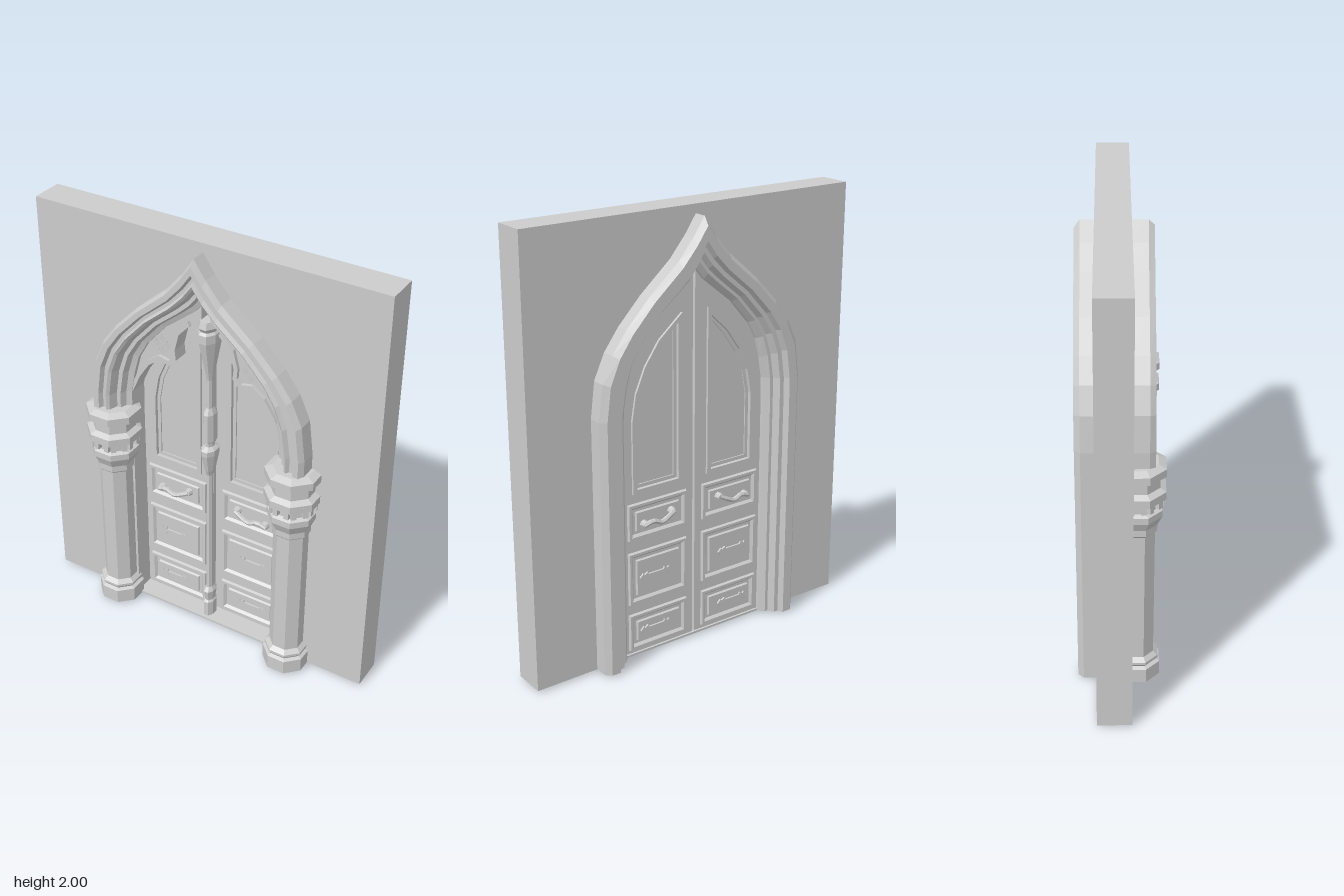
import * as THREE from 'three';

const stone = new THREE.MeshStandardMaterial({ color: 0xcccccc, flatShading: true, side: THREE.DoubleSide });

function add(parent, name, geometry, x = 0, y = 0, z = 0) {
  const mesh = new THREE.Mesh(geometry, stone);
  mesh.name = name;
  mesh.position.set(x, y, z);
  parent.add(mesh);
  return mesh;
}

// Skin a list of closed rings; u and v name the axes used to fill the end caps
function loft(rings, u, v, capStart, capEnd) {
  const n = rings[0].length;
  const index = [];
  for (let i = 0; i < rings.length - 1; i++) {
    for (let j = 0; j < n; j++) {
      const a = i * n + j, b = i * n + (j + 1) % n;
      index.push(a, b, b + n, a, b + n, a + n);
    }
  }
  const cap = (i, flip) => {
    const flat = rings[i].map(p => new THREE.Vector2(p[u], p[v]));
    for (const [a, b, c] of THREE.ShapeUtils.triangulateShape(flat, [])) {
      index.push(i * n + a, i * n + (flip ? c : b), i * n + (flip ? b : c));
    }
  };
  if (capStart) cap(0, true);
  if (capEnd) cap(rings.length - 1, false);
  const g = new THREE.BufferGeometry();
  g.setAttribute('position', new THREE.Float32BufferAttribute(rings.flat().flatMap(p => [p.x, p.y, p.z]), 3));
  g.setIndex(index);
  g.computeVertexNormals();
  return g;
}

const shapeOf = (pts, s = 1) => new THREE.Shape(pts.map(([x, y]) => new THREE.Vector2(s * x, y)));
const slab = (shape, z0, z1) =>
  new THREE.ExtrudeGeometry(shape, { depth: z1 - z0, bevelEnabled: false }).translate(0, 0, z0);

// Right half of the ogee arch: outer and inner edges, station by station
const OUTER = [[.53, .01], [.53, 1.07], [.53, 1.18], [.51, 1.34], [.46, 1.45], [.39, 1.545],
  [.28, 1.66], [.13, 1.79], [.055, 1.88], [0, 1.96]];
const INNER = [[.375, .01], [.375, 1.07], [.372, 1.18], [.355, 1.28], [.33, 1.37], [.285, 1.45],
  [.19, 1.56], [.09, 1.64], [.04, 1.68], [0, 1.73]];
const edge = t => OUTER.map(([x, y], i) => [x + (INNER[i][0] - x) * t, y + (INNER[i][1] - y) * t]);
const fullEdge = t => {
  const half = edge(t);
  return [...half.map(([x, y]) => [-x, y]), ...half.slice(0, -1).reverse()];
};

// Sweep a profile of (t across the moulding, z) round the arch
function archMoulding(profile, skip) {
  const edges = profile.map(([t]) => fullEdge(t));
  const rings = [];
  for (let i = skip; i < edges[0].length - skip; i++) {
    rings.push(profile.map(([, z], j) => new THREE.Vector3(edges[j][i][0], edges[j][i][1], z)));
  }
  return loft(rings, 'x', 'z', true, true);
}

// Octagonal turned part from apothem/height pairs
function octagon(profile) {
  const k = 1 / Math.cos(Math.PI / 8);
  return new THREE.LatheGeometry(profile.map(([r, y]) => new THREE.Vector2(r * k, y)), 8, Math.PI / 8);
}

// Moulded rectangular panel from inset/height steps
function panelGeometry(w, h) {
  const steps = [[0, -.004], [.006, .012], [.018, .012], [.03, -.002], [.04, -.002], [.046, .009], [.052, .009]];
  const rings = steps.map(([d, z]) => [[-1, -1], [1, -1], [1, 1], [-1, 1]]
    .map(([a, b]) => new THREE.Vector3(a * (w / 2 - d), b * (h / 2 - d), z)));
  return loft(rings, 'x', 'y', false, true);
}

const WINDOW = [[.08, .8], [.315, .8], [.315, 1.12], [.295, 1.24], [.25, 1.34], [.18, 1.44], [.08, 1.53]];
const insetWindow = d => [[.08 + d, .8 + d], [.315 - d, .8 + d], [.315 - d, 1.12], [.295 - d, 1.235 - d * .3],
  [.25 - d * .8, 1.34 - d * .7], [.18 - d * .6, 1.44 - d], [.08 + d, 1.53 - d * 1.9]];
const PLATE = [[-.085, 0], [-.068, .018], [-.062, .009], [-.045, .02], [-.04, .009], [.04, .009], [.045, .02],
  [.062, .009], [.068, .018], [.085, 0], [.068, -.018], [.062, -.009], [.045, -.02], [.04, -.009],
  [-.04, -.009], [-.045, -.02], [-.062, -.009], [-.068, -.018]];

// Everything applied to one face of the pair of doors, facing +z
function doorFace() {
  const face = new THREE.Group();
  for (const s of [-1, 1]) {
    [[.125, .18], [.3875, .255], [.6575, .175]].forEach(([y, h], row) => {
      add(face, 'doorPanel', panelGeometry(.315, h), s * .198, y, 0);
      if (row < 2) add(face, 'panelOrnament', slab(shapeOf(PLATE), .008, .018), s * .215, y, 0);
    });
    // Lever handle on two round mounts
    for (const [x, y] of [[.13, .668], [.275, .642]]) {
      add(face, 'handleMount', new THREE.CylinderGeometry(.014, .02, .03, 8).rotateX(Math.PI / 2), s * x, y, .02);
    }
    const path = new THREE.CatmullRomCurve3([[.125, .672, .03], [.16, .655, .036], [.2, .64, .038], [.24, .655, .036],
      [.285, .64, .03]].map(([x, y, z]) => new THREE.Vector3(s * x, y, z)));
    add(face, 'doorHandle', new THREE.TubeGeometry(path, 10, .011, 6));
    // Stepped window surround
    for (const [a, b, z] of [[-.012, .008, .011], [.008, .024, -.006]]) {
      const ring = shapeOf(insetWindow(a), s);
      ring.holes.push(shapeOf(insetWindow(b), s));
      add(face, 'windowSurround', slab(ring, -.012, z));
    }
  }
  return face;
}

function column(x) {
  const g = new THREE.Group();
  g.name = 'column';
  add(g, 'columnShaft', octagon([[0, .01], [.1, .01], [.1, .08], [.084, .088], [.092, .1], [.092, .112], [.073, .13],
    [.073, .77], [.082, .78], [.082, .81], [.102, .855], [.102, .885], [.084, .895], [.084, .93], [.117, .945],
    [.117, .98], [.092, .995], [.092, 1.045], [.117, 1.055], [.117, 1.09], [.085, 1.105], [0, 1.105]]));
  // Small blocks under the two collars
  for (let i = 0; i < 8; i++) {
    const a = i * Math.PI / 4;
    for (const off of [-.026, .026]) {
      const block = new THREE.BoxGeometry(.022, .04, .03).translate(off, 0, .093).rotateY(a);
      add(g, 'capitalBlock', block, 0, .925, 0);
    }
  }
  g.position.set(x, 0, .068);
  return g;
}

export function createModel() {
  const model = new THREE.Group();
  model.name = 'archedDoorway';

  // Wall with the arched opening cut up from its foot
  add(model, 'wall', slab(shapeOf([[-.83, .01], ...fullEdge(.6), [.83, .01], [.83, 2], [-.83, 2]]), -.105, .045));
  add(model, 'threshold', new THREE.BoxGeometry(.76, .01, .15), 0, .015, -.03);

  // Front arch springs from the columns; the back frame runs to the floor
  add(model, 'frontArch', archMoulding([[0, .03], [0, .115], [.1, .14], [.27, .14], [.33, .118], [.43, .118],
    [.5, .135], [.58, .125], [.66, .085], [.78, .085], [.85, .055], [1, .045], [1, .03]], 1));
  add(model, 'backFrame', archMoulding([[.5, .044], [1, .044], [1, -.11], [.86, -.135], [.76, -.135], [.66, -.165],
    [.52, -.165], [.44, -.19], [.16, -.19], [0, -.165], [0, -.1], [.5, -.1]], 0));

  for (const s of [-1, 1]) {
    model.add(column(s * .46));

    // Door leaf and its pane
    const leaf = shapeOf([[.006, .012], ...edge(.9).slice(0, -1), [.006, 1.735]], s);
    leaf.holes.push(shapeOf(WINDOW, s));
    add(model, 'doorLeaf', slab(leaf, -.095, -.05));
    add(model, 'windowPane', slab(shapeOf(WINDOW, s), -.076, -.069));

    // Pierced tracery in the shoulder of the arch
    const tracery = shapeOf([[.375, 1.17], [.36, 1.3], [.335, 1.38], [.29, 1.46], [.195, 1.57], [.095, 1.65],
      [.02, 1.71], [.02, 1.64], [.07, 1.6], [.125, 1.54], [.145, 1.46], [.14, 1.41], [.175, 1.375], [.225, 1.385],
      [.28, 1.345], [.33, 1.27]], s);
    for (const [dx, dy] of [[-.026, 0], [.026, 0], [0, .03], [0, -.03]]) {
      const cx = .218 + dx, cy = 1.46 + dy;
      tracery.holes.push(shapeOf([[cx - .019, cy], [cx, cy - .021], [cx + .019, cy], [cx, cy + .021]], s));
    }
    add(model, 'tracery', slab(tracery, -.03, .025));
    // Raised rib along the lower edge of the tracery
    const rib = shapeOf([[.375, 1.17], [.33, 1.27], [.28, 1.345], [.225, 1.385], [.175, 1.375], [.14, 1.41],
      [.145, 1.46], [.125, 1.54], [.07, 1.6], [.08, 1.618], [.142, 1.55], [.164, 1.465], [.16, 1.418],
      [.18, 1.397], [.23, 1.407], [.292, 1.363], [.345, 1.28], [.375, 1.215]], s);
    add(model, 'traceryRib', slab(rib, -.035, .042));
  }

  // Matching mouldings and hardware on both faces of the doors
  const front = doorFace();
  front.name = 'doorFront';
  front.position.z = -.05;
  const back = doorFace();
  back.name = 'doorBack';
  back.rotation.y = Math.PI;
  back.position.z = -.095;
  model.add(front, back);

  // Turned post covering the meeting edge
  const post = octagon([[0, 0], [.026, 0], [.026, .1], [.02, .11], [.026, .165], [.015, .185], [.013, .84],
    [.02, .87], [.034, .96], [.034, .985], [.018, 1.0], [.018, 1.02], [.026, 1.03], [.026, 1.17], [.015, 1.2],
    [.013, 1.34], [.018, 1.38], [.042, 1.54], [.042, 1.58], [.034, 1.59], [.042, 1.61], [.036, 1.64], [0, 1.64]]);
  add(model, 'centrePost', post.scale(1, 1, 1.5), 0, 0, -.01);

  return model;
}
